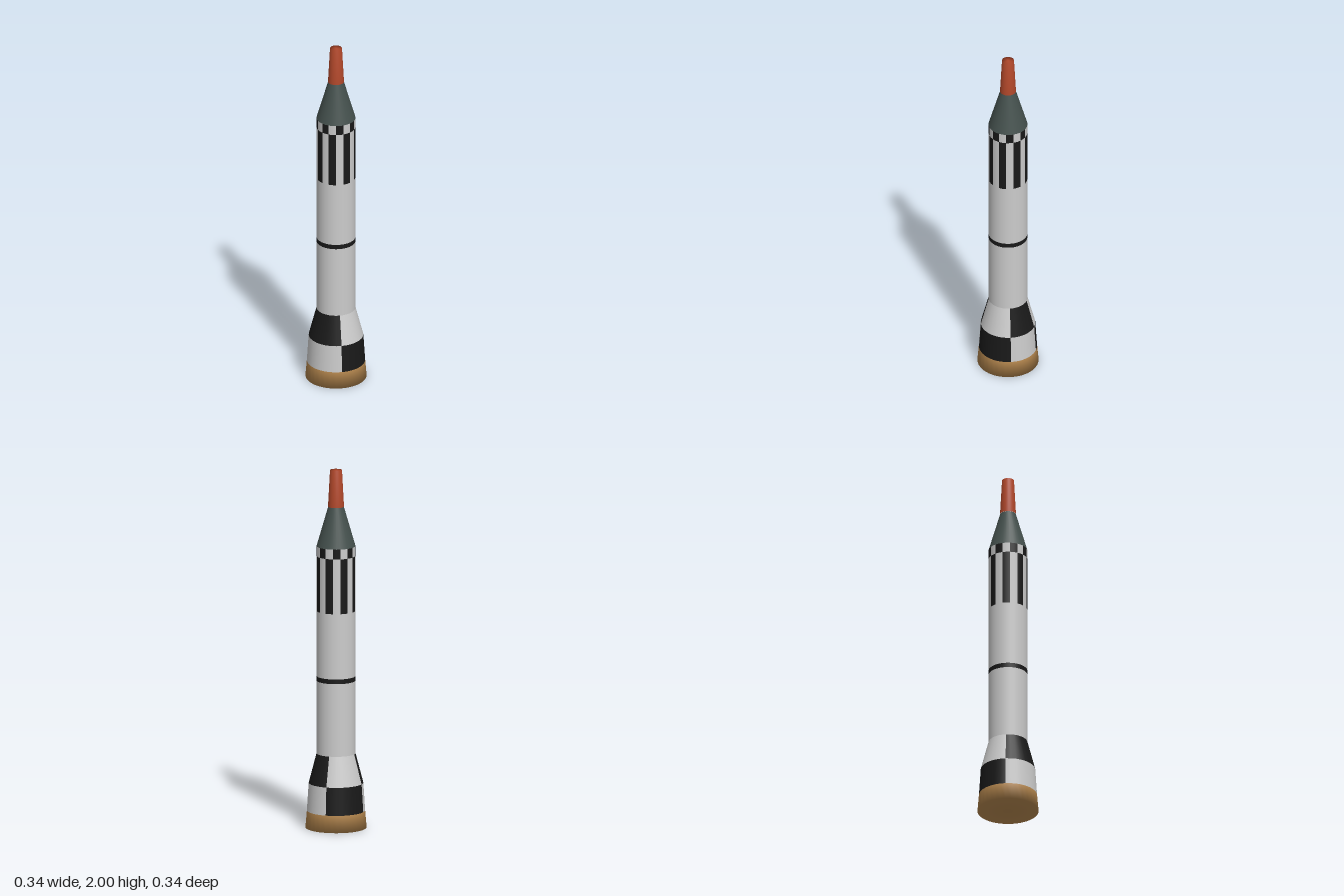
import * as THREE from 'three';
import { mergeGeometries } from 'three/addons/utils/BufferGeometryUtils.js';

const STEP = Math.PI / 16; // one of the 32 sides
const paint = (color) => new THREE.MeshStandardMaterial({ color });

export function createModel() {
  const group = new THREE.Group();
  const white = paint(0xcccccc), black = paint(0x191919);
  const tan = paint(0xb98a50), green = paint(0x44504d), orange = paint(0xb0472a);

  // Turned patch covering sides [from, to), counted from the front towards +x
  const patch = (profile, from = 0, to = 32) => new THREE.LatheGeometry(
    profile.map(([r, y]) => new THREE.Vector2(r, y)), to - from, from * STEP, (to - from) * STEP);

  const add = (name, material, profile, spans = [[0, 32]]) => {
    const mesh = new THREE.Mesh(mergeGeometries(spans.map(([a, b]) => patch(profile, a, b))), material);
    mesh.name = name;
    group.add(mesh);
  };

  // Band split into black spans and the white spans between them
  const addChecked = (name, profile, blackSpans) => {
    const whiteSpans = blackSpans.map(([, end], i) =>
      [end, i + 1 < blackSpans.length ? blackSpans[i + 1][0] : blackSpans[0][0] + 32]);
    add(name + 'Black', black, profile, blackSpans);
    add(name + 'White', white, profile, whiteSpans);
  };

  // Engine skirt with closed base, softly shaded round the rim
  add('engineSkirt', tan, [[0, 0], [0.168, 0], [0.16, 0.095]]);

  // Flared tail: two rows of offset panels
  addChecked('lowerTail', [[0.16, 0.095], [0.15, 0.25]], [[-3, 5], [11, 19]]);
  addChecked('upperTail', [[0.15, 0.25], [0.107, 0.415]], [[5, 11], [19, 29]]);

  // Straight body with a thin ring
  add('lowerBody', white, [[0.107, 0.415], [0.107, 0.822]]);
  add('bodyRing', black, [[0.107, 0.822], [0.107, 0.848]]);
  add('upperBody', white, [[0.107, 0.848], [0.107, 1.213]]);

  // Eight long stripes, then a short row with the colours swapped
  const stripes = (offset) => Array.from({ length: 8 }, (_, i) => [i * 4 + offset, i * 4 + offset + 2]);
  addChecked('longStripes', [[0.107, 1.213], [0.107, 1.52]], stripes(2));
  addChecked('shortStripes', [[0.107, 1.52], [0.107, 1.575]], stripes(0));

  // Capsule cone and escape tower
  add('capsule', green, [[0.107, 1.575], [0.043, 1.795]]);
  add('escapeTower', orange, [[0.044, 1.795], [0.033, 2], [0, 2]]);

  return group;
}
